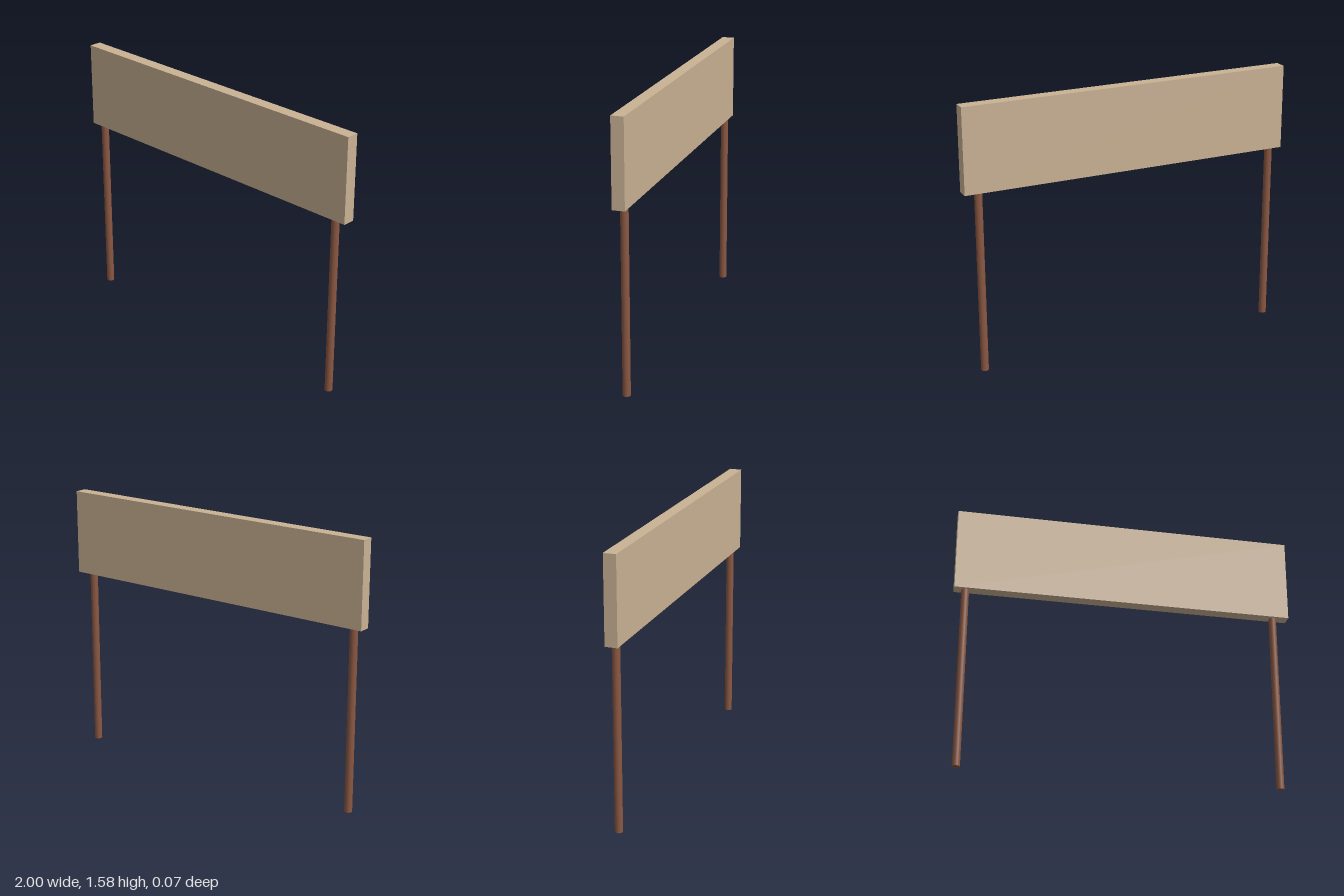
import * as THREE from 'three';

const BOARD_BOTTOM = 1.08;
const BOARD_HEIGHT = 0.5;
const POST_RADIUS = 0.0225;

export function createModel() {
  const model = new THREE.Group();
  model.name = 'signboard';

  const tan = new THREE.MeshStandardMaterial({ color: 0xcab294 });
  tan.name = 'tan board';
  const brown = new THREE.MeshStandardMaterial({ color: 0x8a5742 });
  brown.name = 'brown post';

  // Wide flat panel
  const board = new THREE.Mesh(new THREE.BoxGeometry(2, BOARD_HEIGHT, 0.072), tan);
  board.name = 'board';
  board.position.y = BOARD_BOTTOM + BOARD_HEIGHT / 2;
  model.add(board);

  // Round posts, set slightly unevenly under the panel
  const postGeometry = new THREE.CylinderGeometry(POST_RADIUS, POST_RADIUS, BOARD_BOTTOM, 24);
  for (const [name, x] of [['rightPost', -0.935], ['leftPost', 0.91]]) {
    const post = new THREE.Mesh(postGeometry, brown);
    post.name = name;
    post.position.set(x, BOARD_BOTTOM / 2, 0);
    model.add(post);
  }

  return model;
}
